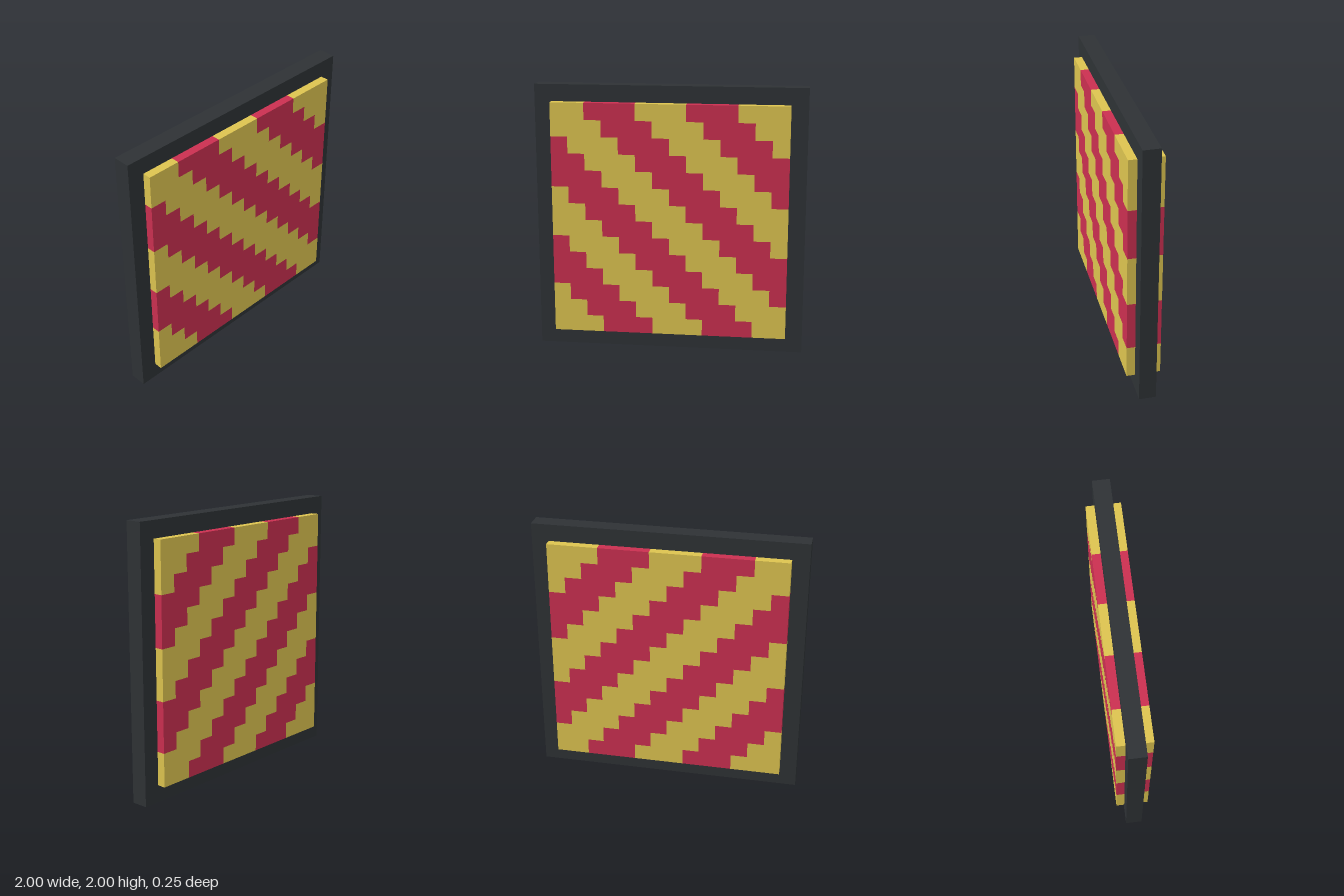
import * as THREE from 'three';
import { mergeGeometries } from 'three/addons/utils/BufferGeometryUtils.js';

const CELL = 0.125; // one pattern step
const COUNT = 14; // cells along each side of the panel
const HALF = (COUNT * CELL) / 2;

// Square outline centred on the middle of the board
function square(half, Type) {
  return new Type([
    new THREE.Vector2(-half, 1 - half),
    new THREE.Vector2(half, 1 - half),
    new THREE.Vector2(half, 1 + half),
    new THREE.Vector2(-half, 1 + half),
  ]);
}

function addMesh(group, name, geometry, color) {
  const material = new THREE.MeshStandardMaterial({ color, flatShading: true });
  const mesh = new THREE.Mesh(geometry, material);
  mesh.name = name;
  group.add(mesh);
}

// Stripes are three cells wide and step one cell to the right per row down
const isRed = (col, row) => (((col - row - 2) % 6) + 6) % 6 < 3;

export function createModel() {
  const group = new THREE.Group();
  group.name = 'stripedPanel';

  // Dark square frame around the panel
  const outline = square(1, THREE.Shape);
  outline.holes.push(square(HALF, THREE.Path));
  const frame = new THREE.ExtrudeGeometry(outline, { depth: CELL, bevelEnabled: false });
  frame.translate(0, 0, -CELL / 2);
  addMesh(group, 'frame', frame, 0x2e3235);

  // Thicker panel: each row is split into runs of one colour
  const red = [];
  const yellow = [];
  for (let row = 0; row < COUNT; row++) {
    let start = 0;
    for (let col = 1; col <= COUNT; col++) {
      if (col < COUNT && isRed(col, row) === isRed(start, row)) continue;
      const run = new THREE.BoxGeometry((col - start) * CELL, CELL, 2 * CELL);
      run.translate(-HALF + ((start + col) / 2) * CELL, 1 + HALF - (row + 0.5) * CELL, 0);
      (isRed(start, row) ? red : yellow).push(run);
      start = col;
    }
  }
  addMesh(group, 'redStripes', mergeGeometries(red), 0xca2f50);
  addMesh(group, 'yellowStripes', mergeGeometries(yellow), 0xdcc34f);

  return group;
}
